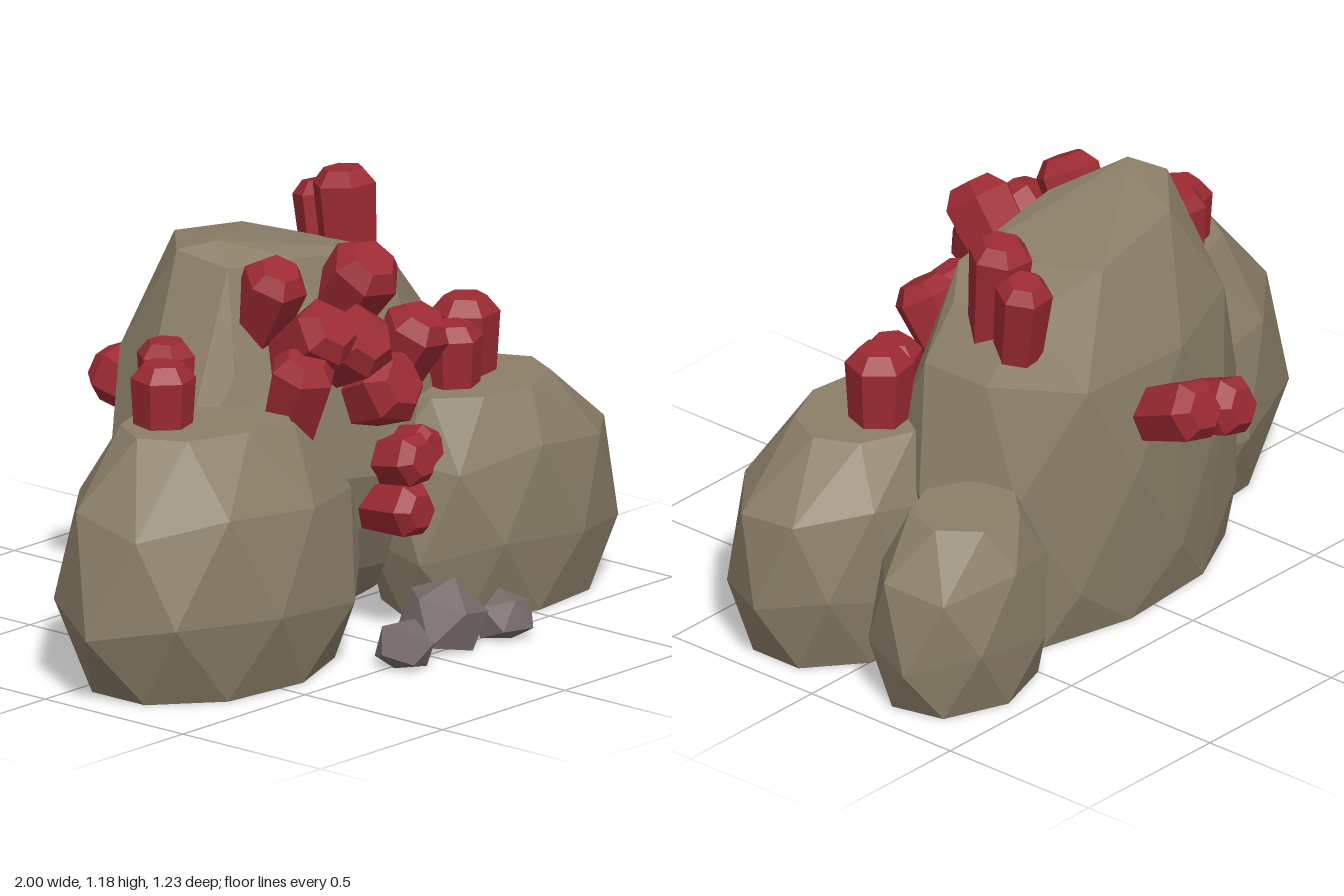
import * as THREE from 'three';
import { ConvexGeometry } from 'three/addons/geometries/ConvexGeometry.js';

const stone = new THREE.MeshStandardMaterial({ color: 0x8c7f69 });
const crystalRed = new THREE.MeshStandardMaterial({ color: 0x9c2a33 });
const pebbleGrey = new THREE.MeshStandardMaterial({ color: 0x766b69 });
stone.flatShading = crystalRed.flatShading = pebbleGrey.flatShading = true;

const V = (x, y, z) => new THREE.Vector3(x, y, z);

// Points of one staggered ring; a little wobble keeps the facets irregular
function ring(cx, y, cz, rx, rz, n, phase, wobble) {
  return Array.from({ length: n }, (_, i) => {
    const a = ((i + phase) / n) * Math.PI * 2;
    return V(cx + Math.cos(a) * rx, y + wobble * Math.sin(i * 2.3 + phase * 4), cz + Math.sin(a) * rz);
  });
}

function hull(name, points) {
  const mesh = new THREE.Mesh(new ConvexGeometry(points), stone);
  mesh.name = name;
  return mesh;
}

// Flat-topped boulder from rings of [y, rx, rz, x offset]
function boulder(name, cx, cz, n, phase, rings) {
  return hull(name, rings.flatMap(([y, rx, rz, dx = 0], i) =>
    ring(cx + dx, y, cz, rx, rz, n, phase + i / 2, i % 3 ? 0.03 : 0)));
}

// Six-sided prism with a bevelled cap, running from base to tip
function crystal(base, tip, r) {
  const from = V(...base), dir = V(...tip).sub(from), h = dir.length();
  const profile = [[0, 0], [r * 0.85, 0], [r, h - r * 0.45], [r * 0.62, h], [0, h]]
    .map(([x, y]) => new THREE.Vector2(x, y));
  const mesh = new THREE.Mesh(new THREE.LatheGeometry(profile, 6, base[0] * 7), crystalRed);
  mesh.quaternion.setFromUnitVectors(V(0, 1, 0), dir.normalize());
  mesh.position.copy(from);
  mesh.name = 'crystal';
  return mesh;
}

function cluster(name, list) {
  const group = new THREE.Group();
  group.name = name;
  list.forEach(c => group.add(crystal(...c)));
  return group;
}

// Small stone resting on the ground
function pebble(x, y, z, r, turn) {
  const geo = new THREE.IcosahedronGeometry(r, 0).rotateY(turn).rotateX(turn * 0.6);
  const p = geo.attributes.position;
  for (let i = 0; i < p.count; i++) p.setY(i, Math.max(p.getY(i), -y));
  geo.computeVertexNormals();
  const mesh = new THREE.Mesh(geo, pebbleGrey);
  mesh.position.set(x, y, z);
  mesh.name = 'pebble';
  return mesh;
}

export function createModel() {
  const model = new THREE.Group();
  model.name = 'crystalRocks';

  // Tall central boulder with a slanted top, narrowing at the foot
  model.add(hull('mainBoulder', [
    V(-0.29, 1.14, -0.01), V(-0.25, 1.135, -0.05), V(-0.35, 1.11, -0.1), V(-0.19, 1.1, -0.25),
    V(0.12, 1.05, -0.28), V(0.36, 0.97, -0.21), V(0.38, 0.95, 0.03), V(0.28, 1.01, 0.1),
    V(-0.1, 1.07, 0.11), V(-0.32, 1.08, 0.06),
    ...ring(0.02, 0.78, -0.08, 0.51, 0.325, 9, 0.5, 0.03),
    ...ring(0.02, 0.48, -0.055, 0.6, 0.36, 9, 0, 0.03),
    ...ring(0.02, 0.17, -0.1, 0.57, 0.3, 9, 0.5, 0.03),
    ...ring(0.02, 0, -0.17, 0.48, 0.2, 9, 0, 0),
  ]));

  // Lower boulders around it
  model.add(
    boulder('rightBoulder', -0.488, 0.145, 9, 0,
      [[0, 0.4, 0.28], [0.22, 0.51, 0.345], [0.5, 0.455, 0.315], [0.72, 0.3, 0.19]]),
    boulder('leftBoulder', 0.585, 0.205, 9, 0.5,
      [[0, 0.35, 0.24], [0.2, 0.42, 0.285], [0.45, 0.4, 0.27, -0.01], [0.62, 0.25, 0.185, -0.075]]),
    boulder('backBoulder', 0.68, -0.26, 7, 0.3,
      [[0, 0.24, 0.18], [0.17, 0.29, 0.22], [0.38, 0.265, 0.21], [0.53, 0.16, 0.15, -0.02]]),
  );

  // Crystals: [base, tip, radius]
  model.add(
    cluster('rightBoulderCrystals', [
      [[-0.63, 0.64, 0.1], [-0.63, 0.89, 0.1], 0.09],
      [[-0.54, 0.64, 0.03], [-0.54, 0.92, 0.03], 0.083],
    ]),
    cluster('leftBoulderCrystals', [
      [[0.43, 0.56, 0.21], [0.43, 0.79, 0.21], 0.085],
      [[0.55, 0.56, 0.15], [0.55, 0.83, 0.15], 0.095],
    ]),
    cluster('topCrystals', [
      [[0.36, 0.88, -0.1], [0.36, 1.18, -0.125], 0.09],
      [[0.38, 0.87, -0.2], [0.4, 1.115, -0.245], 0.08],
    ]),
    cluster('backCrystals', [
      [[0.04, 0.59, -0.32], [0.05, 0.7, -0.59], 0.092],
      [[-0.1, 0.56, -0.32], [-0.12, 0.64, -0.58], 0.088],
    ]),
    cluster('frontCrystals', [
      [[-0.23, 0.85, 0.06], [-0.25, 1.09, 0.19], 0.093],
      [[0.04, 0.83, 0.08], [0.02, 1.08, 0.29], 0.105],
      [[-0.18, 0.78, 0.12], [-0.2, 0.95, 0.35], 0.1],
      [[-0.05, 0.77, 0.13], [-0.09, 0.9, 0.38], 0.105],
      [[-0.28, 0.64, 0.24], [-0.29, 0.87, 0.32], 0.095],
      [[0.03, 0.65, 0.16], [0.02, 0.75, 0.4], 0.108],
      [[0.22, 0.65, 0.15], [0.24, 0.87, 0.28], 0.095],
    ]),
    cluster('lowerCrystals', [
      [[0.08, 0.48, 0.2], [0.08, 0.52, 0.42], 0.077],
      [[0.15, 0.5, 0.2], [0.15, 0.53, 0.39], 0.068],
      [[0.06, 0.36, 0.2], [0.06, 0.38, 0.43], 0.08],
    ]),
  );

  // Pebbles at the front
  const pebbles = new THREE.Group();
  pebbles.name = 'pebbles';
  pebbles.add(
    pebble(-0.11, 0.045, 0.515, 0.088, 0.5),
    pebble(0.105, 0.065, 0.46, 0.13, 1.1),
    pebble(0.285, 0.045, 0.53, 0.088, 2),
  );
  model.add(pebbles);
  return model;
}
